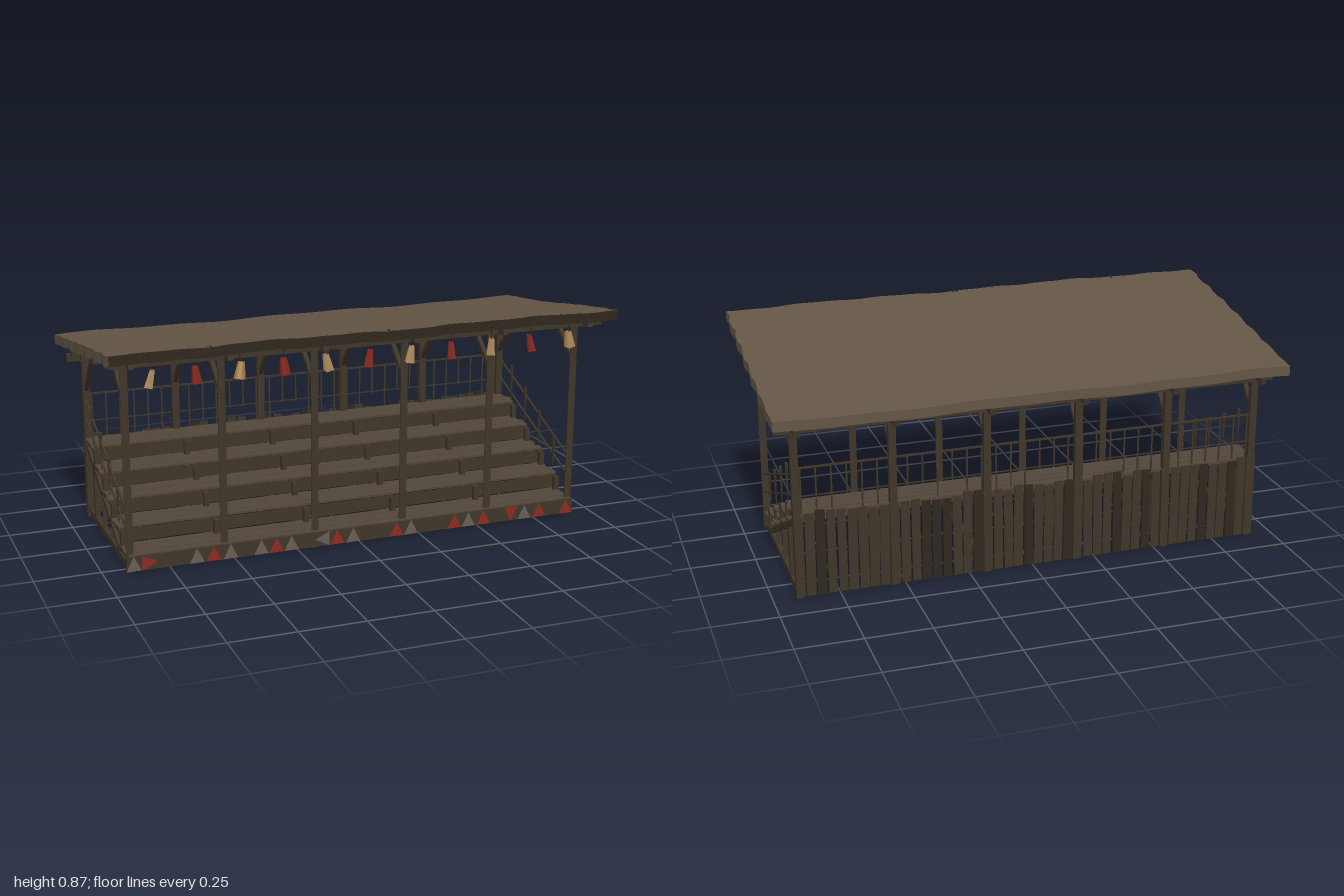
import * as THREE from 'three';
import { mergeGeometries } from 'three/addons/utils/BufferGeometryUtils.js';

const mat = (name, color, side = THREE.FrontSide) => {
  const m = new THREE.MeshStandardMaterial({ color, side });
  m.name = name;
  return m;
};

export function createModel() {
  const model = new THREE.Group();
  model.name = 'coveredGrandstand';

  const wood = mat('wood', 0x403529);
  const darkWood = mat('darkWood', 0x30281e);
  const tread = mat('treadWood', 0x52463a);
  const roofMat = mat('roof', 0x645646);
  const red = mat('redCloth', 0x8c2a22, THREE.DoubleSide);
  const grey = mat('greyCloth', 0x685e54, THREE.DoubleSide);
  const tan = mat('tanCloth', 0xb8935f, THREE.DoubleSide);

  let seed = 7;
  const rnd = () => (seed = (seed * 16807) % 2147483647) / 2147483647;
  const jitter = (a) => (rnd() - 0.5) * 2 * a;

  const add = (name, geometry, material) => {
    const m = new THREE.Mesh(geometry, material);
    m.name = name;
    model.add(m);
    return m;
  };
  // axis-aligned block given by its centre
  const block = (w, h, d, x, y, z) => new THREE.BoxGeometry(w, h, d).translate(x, y, z);
  // sloping timber in the y-z plane
  const beam = (x, w, h, [z1, y1], [z2, y2]) =>
    new THREE.BoxGeometry(w, h, Math.hypot(z2 - z1, y2 - y1))
      .rotateX(-Math.atan2(y2 - y1, z2 - z1))
      .translate(x, (y1 + y2) / 2, (z1 + z2) / 2);
  const addAll = (name, list, material) => add(name, mergeGeometries(list), material);

  const bays = [-0.9, -0.54, -0.18, 0.18, 0.54, 0.9];

  // Roof slab, sloping to the back with a slightly wavy surface
  const roofTop = (z) => 0.801 + 0.149 * z;
  const roof = new THREE.BoxGeometry(1.98, 0.038, 0.925, 48, 1, 20);
  const p = roof.attributes.position;
  for (let i = 0; i < p.count; i++) {
    const x = p.getX(i), y = p.getY(i), z = p.getZ(i) - 0.0125;
    const wave = 0.003 * Math.sin(x * 7 + 1) * Math.sin(z * 9) + 0.002 * Math.sin(x * 17 + z * 6);
    const ragged = 0.004 * Math.sin(z * 43) + 0.003 * Math.sin(z * 91);
    p.setXYZ(i, x + (Math.abs(x) > 0.98 ? ragged : 0), roofTop(z) + y - 0.019 + wave,
      z + (z > 0.44 ? 0.004 * Math.sin(x * 37) : 0));
  }
  roof.computeVertexNormals();
  add('roof', roof, [roofMat, roofMat, roofMat, darkWood, darkWood, roofMat]);

  // Ragged straw along the front eave
  const straws = [];
  for (let i = 0; i < 130; i++) {
    straws.push(new THREE.ConeGeometry(0.004, 0.02 + rnd() * 0.018, 3)
      .rotateX(Math.PI / 2 + jitter(0.3)).rotateY(jitter(0.3))
      .translate(-0.985 + i * 0.01527, 0.85 + jitter(0.014), 0.452));
  }
  addAll('eaveStraw', straws, darkWood);

  // Roof frame: rafters, purlins and knee braces
  const rafters = [], braces = [];
  for (const x of bays) {
    rafters.push(beam(x, 0.022, 0.025, [0.41, 0.812], [-0.445, 0.667]));
    braces.push(beam(x, 0.016, 0.016, [0.285, 0.642], [0.145, 0.762]));
    braces.push(beam(x, 0.016, 0.016, [-0.36, 0.525], [-0.22, 0.69]));
  }
  addAll('rafters', rafters, wood);
  addAll('kneeBraces', braces, wood);
  const purlins = [0.36, 0.285, 0.1, -0.1, -0.27].map((z) =>
    block(1.94, 0.02, 0.022, 0, 0.743 + 0.17 * z, z));
  purlins.push(block(1.94, 0.03, 0.022, 0, 0.66, -0.365));
  addAll('purlins', purlins, wood);

  // Posts: flat boards in front, square timbers behind
  addAll('frontPosts', bays.map((x) => block(0.028, 0.79, 0.005, x, 0.395, 0.286)), wood);
  addAll('backPosts', bays.map((x) => block(0.028, 0.67, 0.024, x, 0.335, -0.364)), wood);
  addAll('middlePosts', bays.map((x) => block(0.02, 0.255, 0.02, x, 0.1275, -0.24)), wood);

  // Ground sills and raking stringers
  addAll('groundSills', bays.map((x) => block(0.022, 0.024, 0.595, x, 0.027, -0.033)), wood);
  addAll('stringers', bays.map((x) => beam(x, 0.02, 0.022, [0.165, 0.036], [-0.36, 0.3])), wood);

  // Five tiers of planks on bearers, with risers, blocks and thin props
  const planks = [], bearers = [], risers = [], blocks = [], props = [];
  for (let t = 0; t < 5; t++) {
    const front = 0.3 - t * 0.132, top = 0.07 + t * 0.065;
    for (let k = 0; k < 4; k++) {
      planks.push(block(1.82 + jitter(0.012), 0.008, 0.032, jitter(0.004),
        top - 0.004 + jitter(0.0015), front - 0.018 - k * 0.0345));
    }
    for (const x of bays) {
      bearers.push(block(0.02, 0.012, 0.138, x, top - 0.014, front - 0.07));
      if (t < 4) {
        blocks.push(block(0.02, 0.055, 0.02, x, top + 0.0275, front - 0.115));
        props.push(block(0.02, top - 0.01, 0.003, x, top / 2, front - 0.144));
      }
    }
    if (t > 0) risers.push(block(1.815, 0.05, 0.004, 0, top - 0.036, front - 0.004));
  }
  addAll('tierPlanks', planks, tread);
  addAll('tierBearers', bearers, wood);
  addAll('tierRisers', risers, wood);
  addAll('tierBlocks', blocks, wood);
  addAll('tierProps', props, wood);

  // Front fascia board
  add('frontFascia', block(1.83, 0.058, 0.024, 0, 0.036, 0.288), wood);

  // Back wall of uneven upright boards in two tones
  const walls = [[], []];
  const n = 46;
  for (let i = 0; i < n; i++) {
    const h = 0.325 + jitter(0.012);
    walls[rnd() < 0.3 ? 1 : 0].push(new THREE.BoxGeometry(0.034 + jitter(0.002), h, 0.006)
      .rotateZ(jitter(0.012))
      .translate(-0.897 + i * 1.794 / (n - 1), 0.008 + h / 2, -0.379));
  }
  addAll('backWallBoards', walls[0], wood);
  addAll('backWallDarkBoards', walls[1], darkWood);

  // Railings: tapered balusters with thin rails
  const rails = [], balusters = [];
  const baluster = (x, y0, y1, z) => balusters.push(
    new THREE.CylinderGeometry(0.0075, 0.002, y1 - y0, 4).rotateY(Math.PI / 4)
      .translate(x, (y0 + y1) / 2, z));
  for (const x of [-0.905, 0.905]) {
    rails.push(beam(x, 0.007, 0.006, [0.295, 0.228], [-0.36, 0.487]));
    rails.push(beam(x, 0.007, 0.006, [0.295, 0.15], [-0.36, 0.408]));
    for (let k = 0; k < 4; k++) {
      baluster(x, 0.15 + k * 0.061, 0.29 + k * 0.065, 0.148 - k * 0.13);
    }
  }
  rails.push(block(1.83, 0.007, 0.007, 0, 0.507, -0.362));
  rails.push(block(1.83, 0.004, 0.004, 0, 0.397, -0.362));
  for (let i = 0; i < 32; i++) {
    const low = rnd() < 0.5 ? 0.33 : 0.39;
    balusters.push(new THREE.BoxGeometry(0.006, 0.505 - low, 0.004)
      .translate(-0.88 + i * 1.76 / 31, (0.505 + low) / 2, -0.362));
  }
  addAll('rails', rails, wood);
  addAll('balusters', balusters, wood);

  // Triangular pennants on the fascia: [x, is red, turn]
  const triangle = new THREE.Shape([[-0.029, -0.028], [0.029, -0.028], [0, 0.03]]
    .map(([x, y]) => new THREE.Vector2(x, y)));
  const pennants = [
    [-0.89, 0, 0], [-0.83, 1, -1], [-0.65, 0, 0], [-0.585, 1, 0], [-0.52, 0, 0], [-0.4, 0, 0],
    [-0.34, 1, 0], [-0.28, 0, 0], [-0.155, 0, 1], [-0.095, 1, 0], [-0.03, 0, 0], [0.15, 1, 0],
    [0.21, 0, 0], [0.395, 1, 0], [0.455, 0, 0], [0.52, 1, 0], [0.64, 1, 2], [0.7, 0, 0],
    [0.765, 1, 0], [0.885, 1, 0],
  ];
  for (const [x, isRed, turn] of pennants) {
    const m = add('fasciaPennant', new THREE.ShapeGeometry(triangle), isRed ? red : grey);
    m.position.set(x, 0.036, 0.303);
    m.rotation.z = turn * Math.PI / 2;
  }

  // Hanging cloths below the eave, alternating tan and red
  for (let i = 0; i < 11; i++) {
    const m = add('hangingCloth', new THREE.CylinderGeometry(0.012, 0.021, 0.064, 4, 1, true)
      .rotateY(Math.PI / 4).scale(1, 1, 1.1), i % 2 ? red : tan);
    m.position.set(-0.825 + i * 0.165, 0.752, 0.38);
    m.rotation.set(jitter(0.12), jitter(0.5), jitter(0.25));
    add('clothCord', block(0.003, 0.04, 0.003, m.position.x, 0.8, 0.38), darkWood);
  }

  return model;
}
